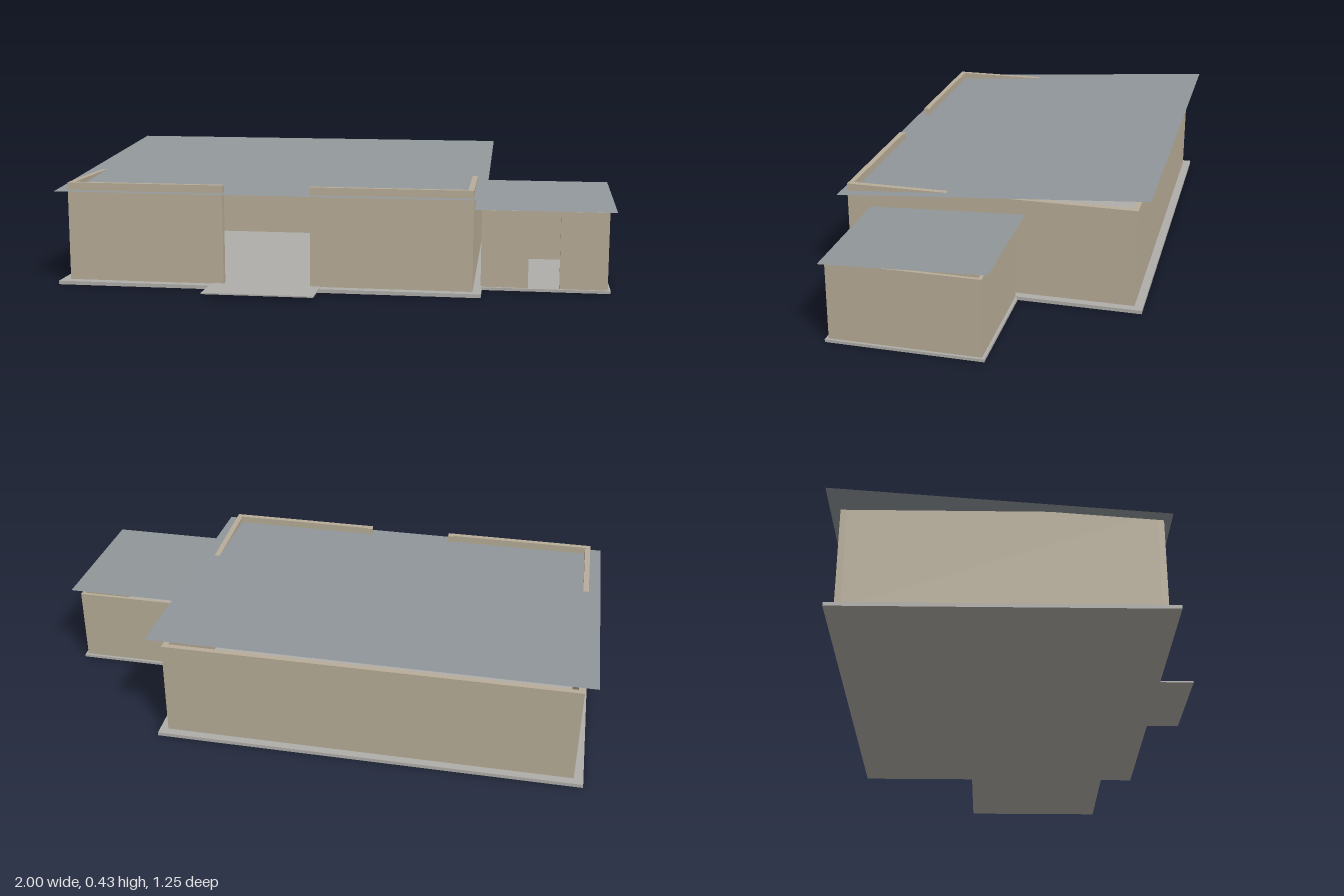
import * as THREE from 'three';

const material = (color, side = THREE.FrontSide) => new THREE.MeshStandardMaterial({ color, side, flatShading: true });

export function createModel() {
  const model = new THREE.Group();
  const wallMat = material(0xb8ad98);
  const floorMat = material(0xb0aea9);
  const roofMat = material(0x92989b, THREE.DoubleSide);

  // Box given by its extents on each axis
  function box(parent, name, mat, [x0, x1], [y0, y1], [z0, z1]) {
    const mesh = new THREE.Mesh(new THREE.BoxGeometry(x1 - x0, y1 - y0, z1 - z0), mat);
    mesh.position.set((x0 + x1) / 2, (y0 + y1) / 2, (z0 + z1) / 2);
    mesh.name = name;
    parent.add(mesh);
  }

  // Thin roof sheet rising from the front edge to the back edge
  function roof(name, [x0, x1], [z0, z1], yFront, yBack) {
    const geo = new THREE.PlaneGeometry(x1 - x0, Math.hypot(z1 - z0, yBack - yFront));
    geo.rotateX(-Math.PI / 2 + Math.atan2(yBack - yFront, z1 - z0));
    const mesh = new THREE.Mesh(geo, roofMat);
    mesh.position.set((x0 + x1) / 2, (yFront + yBack) / 2, (z0 + z1) / 2);
    mesh.name = name;
    model.add(mesh);
  }

  // Four walls with a full-height doorway in the front one
  function room(name, [x0, x1], [z0, z1], y, [d0, d1], t, jamb) {
    const group = new THREE.Group();
    group.name = name;
    box(group, 'backWall', wallMat, [x0, x1], y, [z0, z0 + t]);
    box(group, 'rightWall', wallMat, [x0, x0 + t], y, [z0 + t, z1 - t]);
    box(group, 'leftWall', wallMat, [x1 - t, x1], y, [z0 + t, z1 - t]);
    box(group, 'frontWallRight', wallMat, [x0, d0], y, [z1 - t, z1]);
    box(group, 'frontWallLeft', wallMat, [d1, x1], y, [z1 - t, z1]);
    if (jamb) {
      box(group, 'doorJambRight', wallMat, [d0 - t, d0], y, [z1 - t - jamb, z1 - t]);
      box(group, 'doorJambLeft', wallMat, [d1, d1 + t], y, [z1 - t - jamb, z1 - t]);
    }
    model.add(group);
  }

  // Main building
  box(model, 'mainFloor', floorMat, [-0.99, 0.535], [0, 0.013], [-0.61, 0.5]);
  room('mainWalls', [-0.957, 0.505], [-0.58, 0.465], [0.013, 0.37], [-0.385, -0.07], 0.02, 0.006);
  roof('mainRoof', [-1, 0.546], [-0.627, 0.49], 0.34, 0.425);

  // Side annex
  box(model, 'annexFloor', floorMat, [0.535, 0.985], [0, 0.01], [-0.17, 0.375]);
  room('annexWalls', [0.53, 0.975], [-0.16, 0.365], [0.01, 0.287], [0.697, 0.807], 0.012, 0);
  roof('annexRoof', [0.505, 1], [-0.188, 0.38], 0.29, 0.317);

  // Entrance pad
  box(model, 'entrancePad', floorMat, [-0.428, -0.032], [0.011, 0.016], [0.47, 0.622]);

  return model;
}
